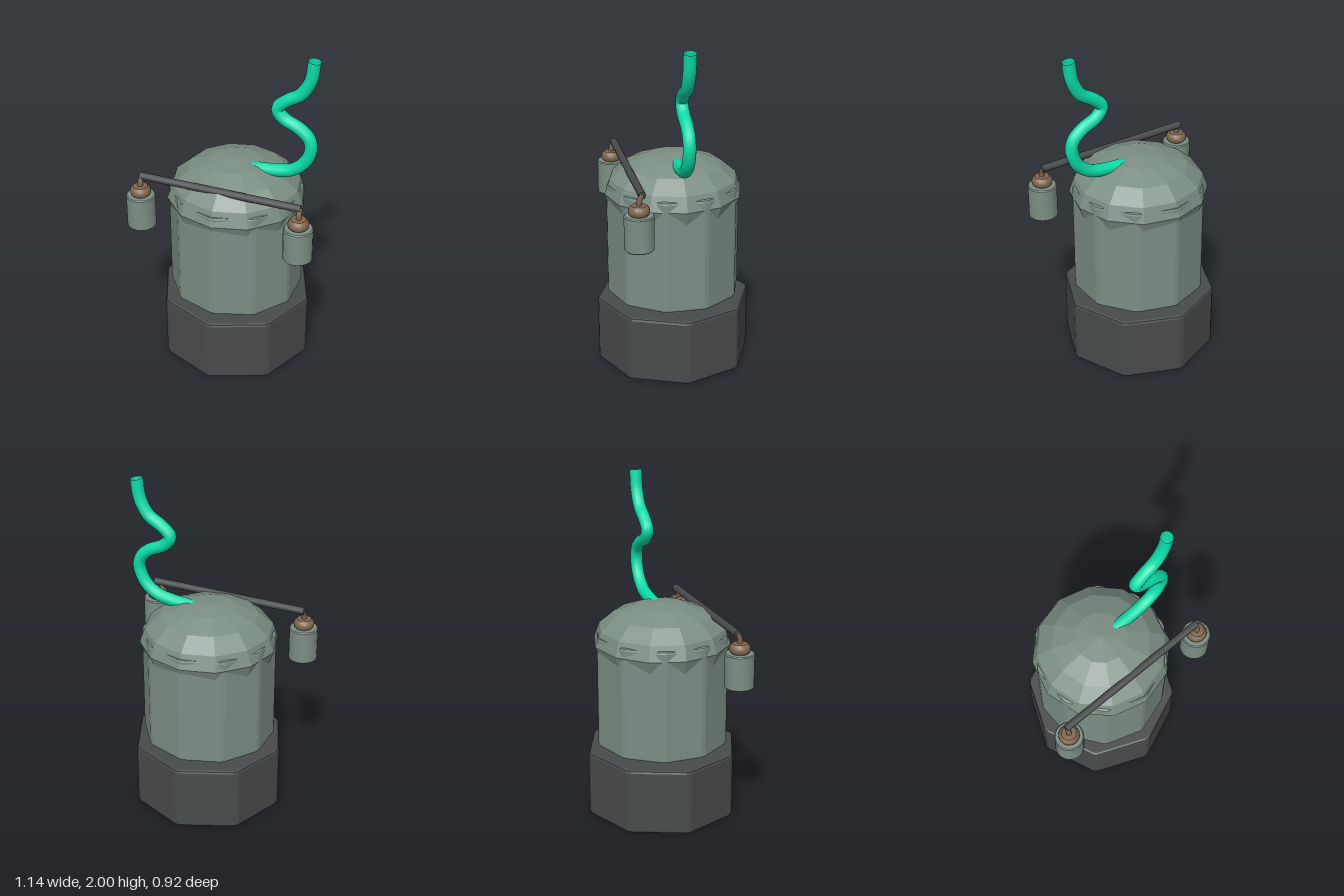
import * as THREE from 'three';
import { toCreasedNormals } from 'three/addons/utils/BufferGeometryUtils.js';

const V = (x, y, z = 0) => new THREE.Vector3(x, y, z);

// Upright prism with a corner on the z axis, bevelled rims and clipped corners.
function bevelledPrism(sides, radius, bottom, top, bevel) {
  const corners = [];
  for (let i = 0; i < sides; i++) {
    const a = Math.PI / 2 + (i / sides) * Math.PI * 2;
    corners.push(new THREE.Vector2(Math.cos(a) * radius, Math.sin(a) * radius));
  }
  const outline = [];
  corners.forEach((c, i) => {
    for (const n of [corners[(i + sides - 1) % sides], corners[(i + 1) % sides]]) {
      outline.push(c.clone().lerp(n, bevel / c.distanceTo(n)));
    }
  });
  const geometry = new THREE.ExtrudeGeometry(new THREE.Shape(outline), {
    depth: top - bottom - bevel * 2,
    bevelSize: bevel,
    bevelThickness: bevel,
    bevelOffset: -bevel,
    bevelSegments: 2,
  });
  geometry.rotateX(-Math.PI / 2);
  geometry.translate(0, bottom + bevel, 0);
  return geometry;
}

// Turned part from [radius, height] pairs, listed bottom to top.
function turned(profile, sides) {
  const points = profile.map(([r, y]) => new THREE.Vector2(r, y));
  return toCreasedNormals(new THREE.LatheGeometry(points, sides), Math.PI / 5);
}

export function createModel() {
  const model = new THREE.Group();
  const shell = new THREE.MeshStandardMaterial({ name: 'greyGreen', color: 0x7c8e84 });
  const domeShell = shell;
  const dark = new THREE.MeshStandardMaterial({ name: 'darkGrey', color: 0x484b4c });
  const teal = new THREE.MeshStandardMaterial({ name: 'brightTeal', color: 0x0cdca8, side: THREE.DoubleSide });
  const brown = new THREE.MeshStandardMaterial({ name: 'brown', color: 0x80664f });

  function add(name, geometry, material, parent = model) {
    const mesh = new THREE.Mesh(geometry, material);
    mesh.name = name;
    parent.add(mesh);
    return mesh;
  }

  // Octagonal base with a ten-sided tank floating just above it
  add('base', bevelledPrism(8, 0.466, 0, 0.4, 0.016), dark);
  add('tank', bevelledPrism(10, 0.402, 0.435, 1.12, 0.014), shell);

  // Faceted, flattened dome whose lower rim sinks into the tank
  const domeGeometry = new THREE.SphereGeometry(0.411, 12, 6, 0, Math.PI * 2, 0, Math.PI * 0.75);
  domeGeometry.scale(1, 0.235 / 0.411, 1);
  domeGeometry.translate(0, 1.06, 0);
  const flatDome = domeGeometry.toNonIndexed();
  flatDome.computeVertexNormals();
  add('dome', flatDome, domeShell);

  // Winding hose, open at the top
  const hosePath = new THREE.CatmullRomCurve3([
    V(0.04, 1.235), V(0.13, 1.253), V(0.246, 1.265), V(0.341, 1.289), V(0.418, 1.354),
    V(0.452, 1.449), V(0.437, 1.513), V(0.378, 1.566), V(0.283, 1.614), V(0.247, 1.67),
    V(0.304, 1.73), V(0.384, 1.782), V(0.437, 1.875), V(0.456, 1.997),
  ]);
  add('hose', new THREE.TubeGeometry(hosePath, 72, 0.038, 12, false), teal);

  // Crossbar at the front of the dome
  const bar = new THREE.CylinderGeometry(0.022, 0.022, 0.985, 12);
  bar.rotateZ(Math.PI / 2);
  add('crossbar', bar, dark).position.set(0, 1.219, 0.274);

  // Hanging canisters, one at each end of the bar
  const canister = turned([
    [0, 0.898], [0.08, 0.898], [0.086, 0.904], [0.086, 1.099], [0.08, 1.105], [0, 1.105],
  ], 20);
  const cap = turned([
    [0, 1.1], [0.046, 1.1], [0.059, 1.115], [0.062, 1.132], [0.056, 1.15], [0.043, 1.162],
    [0, 1.164],
  ], 16);
  const hookPath = new THREE.CatmullRomCurve3([
    V(0, 1.15, 0), V(0, 1.185, -0.002), V(0, 1.21, -0.012), V(0, 1.225, -0.02),
  ]);
  const hook = new THREE.TubeGeometry(hookPath, 8, 0.016, 10, false);
  for (const side of [-1, 1]) {
    const hanger = new THREE.Group();
    hanger.name = side > 0 ? 'leftCanister' : 'rightCanister';
    hanger.position.set(side * 0.486, 0, 0.292);
    add('canisterBody', canister, shell, hanger);
    add('canisterCap', cap, brown, hanger);
    add('canisterHook', hook, brown, hanger);
    model.add(hanger);
  }
  return model;
}
